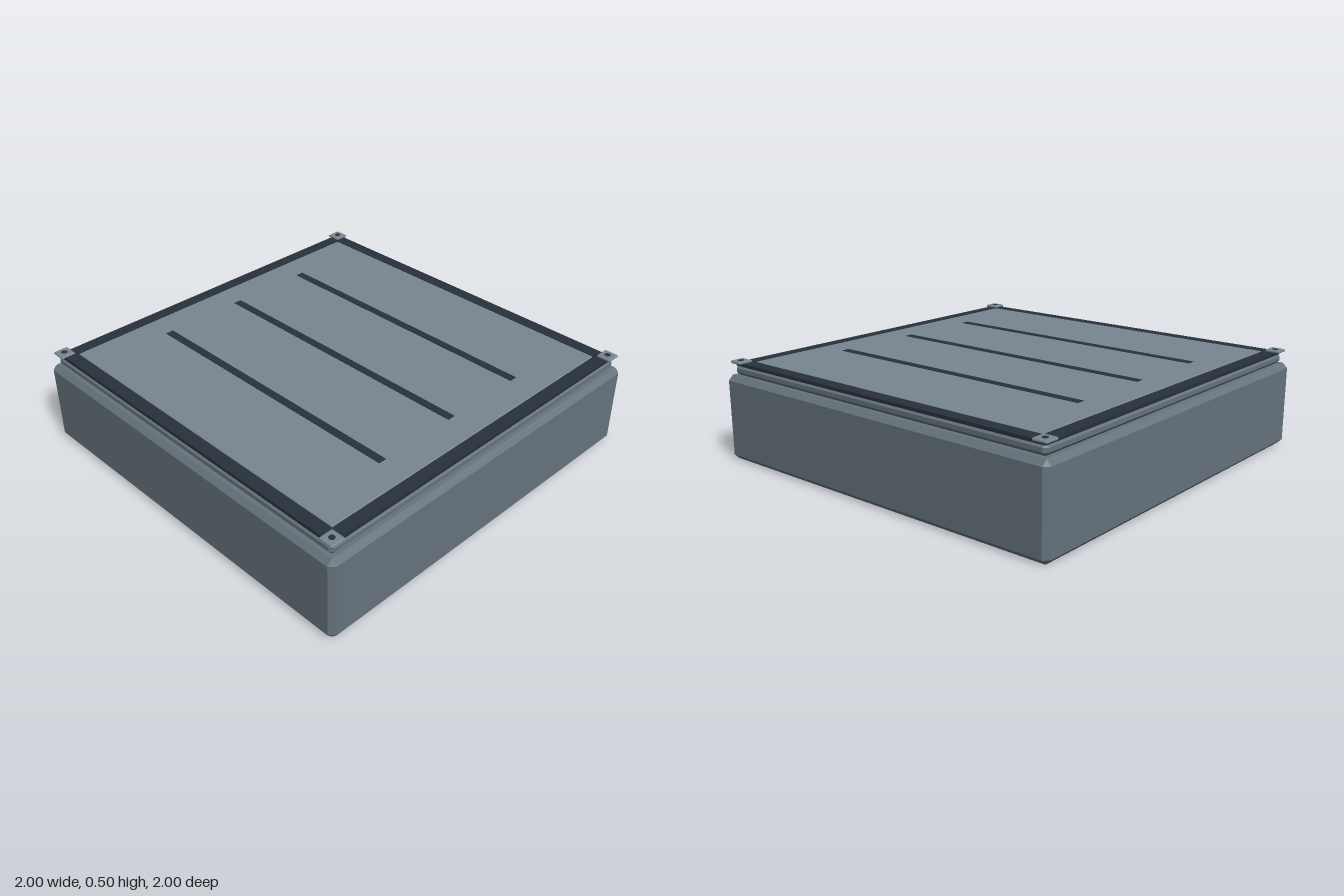
import * as THREE from 'three';
import { ConvexGeometry } from 'three/addons/geometries/ConvexGeometry.js';

const paint = (color) => new THREE.MeshStandardMaterial({ color });

// Box with every edge cut at 45 degrees; y is its underside
function chamferBox(w, h, d, c, y) {
  const points = [];
  for (const sx of [-1, 1]) for (const sy of [-1, 1]) for (const sz of [-1, 1]) {
    for (let axis = 0; axis < 3; axis++) {
      const half = [w / 2, h / 2, d / 2].map((v, i) => (i === axis ? v : v - c));
      points.push(new THREE.Vector3(sx * half[0], sy * half[1], sz * half[2]));
    }
  }
  return new ConvexGeometry(points).translate(0, y + h / 2, 0);
}

export function createModel() {
  const group = new THREE.Group();
  const body = paint(0x65737c);
  const light = paint(0x78868f);
  const dark = paint(0x28303a);

  const add = (name, geometry, material, x = 0, y = 0, z = 0) => {
    const mesh = new THREE.Mesh(geometry, material);
    mesh.name = name;
    mesh.position.set(x, y, z);
    group.add(mesh);
    return mesh;
  };

  // Main block and the slightly smaller lid on it
  add('base', chamferBox(2, 0.43, 2, 0.025, 0), body);
  add('lid', chamferBox(1.935, 0.056, 1.935, 0.018, 0.428), body);

  // Dark border bars round the inset top panel
  for (const s of [-1, 1]) {
    add('borderBarX', new THREE.BoxGeometry(1.92, 0.016, 0.066), dark, 0, 0.483, s * 0.927);
    add('borderBarZ', new THREE.BoxGeometry(0.066, 0.016, 1.788), dark, s * 0.927, 0.483, 0);
  }
  add('topPanel', chamferBox(1.79, 0.02, 1.79, 0.006, 0.473), light);

  // Three long grooves
  for (const x of [-0.45, 0, 0.45]) {
    add('groove', new THREE.BoxGeometry(0.042, 0.006, 1.49), dark, x, 0.492, 0);
  }

  // Corner plates with a bolt in each
  for (const x of [-0.943, 0.943]) for (const z of [-0.943, 0.943]) {
    add('cornerPlate', chamferBox(0.075, 0.013, 0.075, 0.004, 0.488), light, x, 0, z);
    add('bolt', new THREE.CylinderGeometry(0.015, 0.015, 0.006, 12), dark, x, 0.4995, z);
  }
  return group;
}
